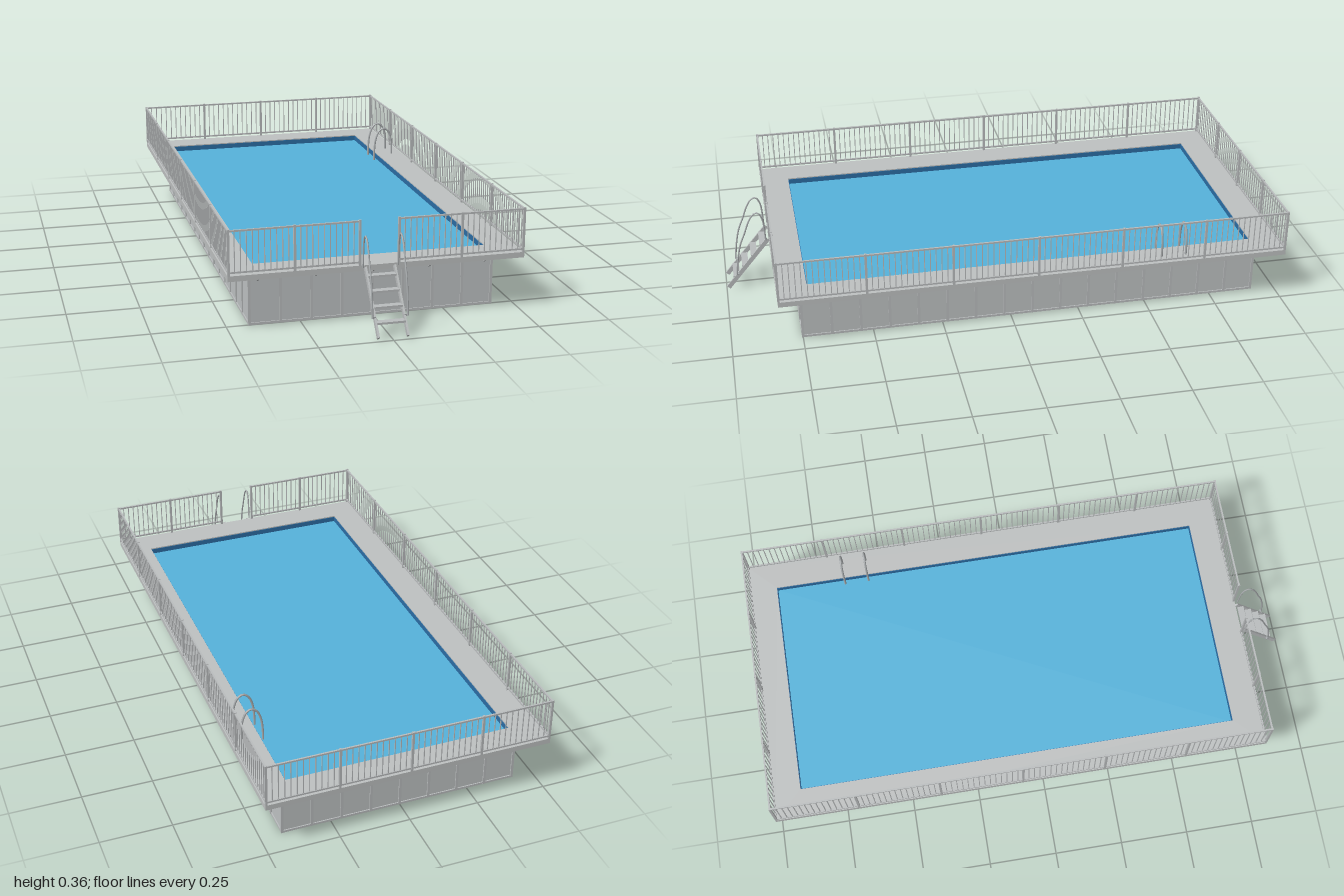
import * as THREE from 'three';

const mat = (name, color) => Object.assign(new THREE.MeshStandardMaterial({ color }), { name });

export function createModel() {
  const deckGrey = mat('deck grey', 0xbdc0c0);
  const panelGrey = mat('panel grey', 0xbdc1c2);
  const railGrey = mat('rail grey', 0xb9bcbd);
  const tubeGrey = mat('tube grey', 0xa9adaf);
  const waterBlue = mat('water blue', 0x55b2da);
  const linerBlue = mat('liner blue', 0x2b6da4);

  const model = new THREE.Group();
  model.name = 'pool';
  const group = (name) => {
    const g = new THREE.Group();
    g.name = name;
    model.add(g);
    return g;
  };
  const add = (parent, name, geo, material) => {
    const m = new THREE.Mesh(geo, material);
    m.name = name;
    parent.add(m);
    return m;
  };
  const box = (parent, name, w, h, d, x, y, z, material) => {
    const m = add(parent, name, new THREE.BoxGeometry(w, h, d), material);
    m.position.set(x, y, z);
    return m;
  };
  // square bar running from a to b
  const bar = (parent, name, a, b, w, h, material) => {
    const p = new THREE.Vector3(...a), q = new THREE.Vector3(...b);
    const m = box(parent, name, w, h, p.distanceTo(q), 0, 0, 0, material);
    m.position.copy(p).add(q).multiplyScalar(0.5);
    m.lookAt(q);
    return m;
  };
  // rectangular frame lying flat, outer and inner given as [halfX, backZ, frontZ]
  const ring = (name, outer, inner, y0, y1, material) => {
    const trace = (path, [x, z0, z1]) =>
      path.moveTo(-x, z0).lineTo(x, z0).lineTo(x, z1).lineTo(-x, z1).closePath();
    const shape = trace(new THREE.Shape(), outer);
    shape.holes.push(trace(new THREE.Path(), inner));
    const geo = new THREE.ExtrudeGeometry(shape, { depth: y1 - y0, bevelEnabled: false });
    geo.rotateX(Math.PI / 2).translate(0, y1, 0);
    return add(model, name, geo, material);
  };
  const tube = (parent, name, points, r) => {
    const curve = new THREE.CatmullRomCurve3(points.map((p) => new THREE.Vector3(...p)));
    return add(parent, name, new THREE.TubeGeometry(curve, 32, r, 8), tubeGrey);
  };

  // basin, deck and water
  const WX = 0.422, WB = -0.911, WF = 0.75;
  ring('basinWall', [WX, WB, WF], [0.41, -0.9, 0.738], 0.002, 0.186, panelGrey);
  ring('deck', [0.508, -1, 0.832], [0.405, -0.897, 0.725], 0.185, 0.204, deckGrey);
  ring('liner', [0.41, -0.9, 0.738], [0.403, -0.895, 0.723], 0.004, 0.2, linerBlue);
  box(model, 'basinFloor', 0.822, 0.005, 1.64, 0, 0.0035, -0.081, linerBlue);
  box(model, 'water', 0.81, 0.004, 1.622, 0, 0.179, -0.086, waterBlue);

  // the four sides: start and end on the wall, outward normal, panel and bracket counts
  const wallSides = [
    { a: [-WX, WF], b: [WX, WF], n: [0, 1], panels: 8, brackets: 5 },
    { a: [WX, WB], b: [-WX, WB], n: [0, -1], panels: 8, brackets: 5 },
    { a: [WX, WF], b: [WX, WB], n: [1, 0], panels: 16, brackets: 9 },
    { a: [-WX, WB], b: [-WX, WF], n: [-1, 0], panels: 16, brackets: 9 },
  ];
  const frames = group('wallFrames');
  const brackets = group('deckBrackets');
  for (const { a, b, n, panels, brackets: count } of wallSides) {
    const at = (t, out) => [
      a[0] + (b[0] - a[0]) * t + n[0] * out,
      a[1] + (b[1] - a[1]) * t + n[1] * out,
    ];
    for (let i = 0; i <= panels; i++) {
      const [x, z] = at(i / panels, 0);
      box(frames, 'rib', 0.009, 0.186, 0.009, x, 0.093, z, railGrey);
    }
    for (const y of [0.004, 0.183]) {
      const p = at(0, 0), q = at(1, 0);
      bar(frames, 'wallRail', [p[0], y, p[1]], [q[0], y, q[1]], 0.008, 0.008, railGrey);
    }
    const length = Math.hypot(b[0] - a[0], b[1] - a[1]);
    const inset = 0.028 / length;
    for (let i = 0; i < count; i++) {
      const t = inset + (1 - 2 * inset) * i / (count - 1);
      const p = at(t, 0.003), q = at(t, 0.052);
      bar(brackets, 'strut', [p[0], 0.156, p[1]], [q[0], 0.188, q[1]], 0.006, 0.006, railGrey);
    }
  }

  // railing, one run of sections at a time
  const railing = group('railing');
  const run = (x0, z0, x1, z1, sections, bars) => {
    const total = sections * bars;
    for (let i = 0; i <= total; i++) {
      const t = i / total;
      const x = x0 + (x1 - x0) * t, z = z0 + (z1 - z0) * t;
      if (i % bars === 0) box(railing, 'post', 0.008, 0.157, 0.008, x, 0.2815, z, railGrey);
      else box(railing, 'baluster', 0.003, 0.14, 0.003, x, 0.285, z, railGrey);
    }
    for (const y of [0.215, 0.355]) {
      bar(railing, 'handrail', [x0, y, z0], [x1, y, z1], 0.006, 0.006, railGrey);
    }
  };
  const RX = 0.504, RB = -0.996, RF = 0.829;
  for (const s of [-1, 1]) {
    run(s * RX, RF, s * RX, RB, 6, 15);
    run(s * RX, RF, s * 0.067, RF, 2, 11);
  }
  run(-RX, RB, RX, RB, 4, 12);

  // entry steps with curved grab rails
  const steps = group('entrySteps');
  for (const s of [-1, 1]) {
    bar(steps, 'stringer', [s * 0.05, 0.197, 0.836], [s * 0.05, 0.009, 0.993], 0.007, 0.016, railGrey);
    const x = s * 0.06;
    tube(steps, 'grabRail', [
      [x, 0.065, 0.958], [x, 0.13, 0.95], [x, 0.19, 0.937], [x, 0.237, 0.918], [x, 0.28, 0.902],
      [x, 0.31, 0.883], [x, 0.316, 0.866], [x, 0.29, 0.851], [x, 0.2, 0.843],
    ], 0.003);
    box(steps, 'railFoot', 0.014, 0.006, 0.006, s * 0.055, 0.066, 0.953, tubeGrey);
  }
  for (let i = 0; i < 4; i++) {
    const y = 0.05 + i * 0.0415;
    box(steps, 'tread', 0.096, 0.007, 0.024, 0, y, 0.96 - (y - 0.05) * 0.84, railGrey);
  }

  // hooped ladder into the water
  const ladder = group('poolLadder');
  for (const z of [-0.635, -0.545]) {
    tube(ladder, 'hoop', [
      [0.39, 0.1, z], [0.39, 0.22, z], [0.396, 0.27, z], [0.41, 0.303, z], [0.43, 0.315, z],
      [0.449, 0.303, z], [0.462, 0.27, z], [0.465, 0.24, z], [0.465, 0.2, z],
    ], 0.004);
  }
  for (const y of [0.11, 0.15]) {
    box(ladder, 'rung', 0.012, 0.005, 0.09, 0.39, y, -0.59, tubeGrey);
  }

  return model;
}
